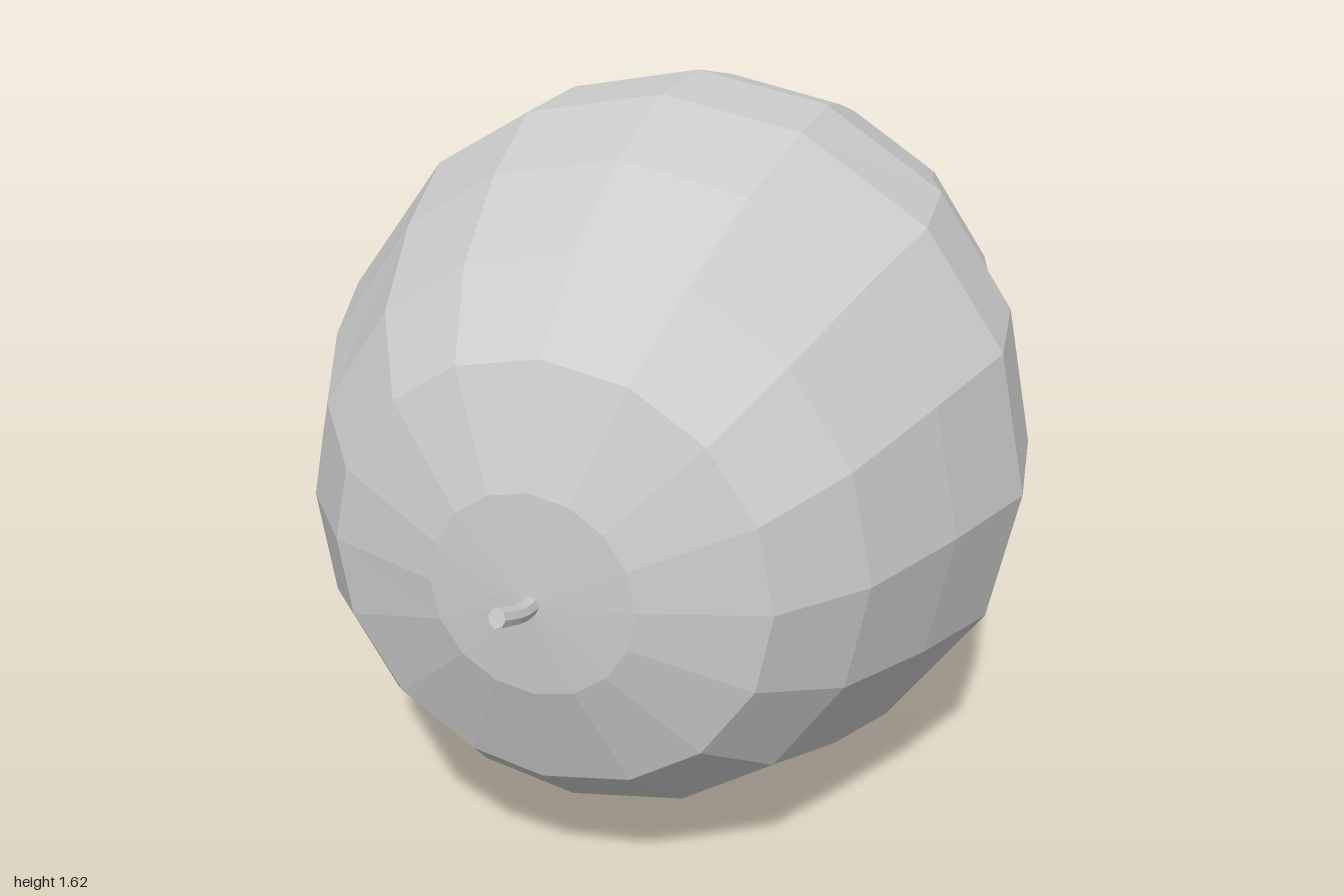
import * as THREE from 'three';

// Cross-sections from the stem end to the blossom end:
// [z, centre y, radius x, radius y, unevenness of the rib angles]
const RINGS = [
  [0.885, 0.81, 0, 0, 0],
  [0.87, 0.82, 0.21, 0.215, 0],
  [0.79, 0.815, 0.455, 0.455, 0.5],
  [0.615, 0.81, 0.6, 0.61, 0.5],
  [0.365, 0.815, 0.72, 0.725, 0.8],
  [0.1, 0.808, 0.815, 0.808, 1],
  [-0.15, 0.83, 0.79, 0.79, 0.9],
  [-0.41, 0.84, 0.695, 0.72, 0.5],
  [-0.655, 0.85, 0.64, 0.635, 0.4],
  [-0.86, 0.845, 0.475, 0.47, 0.2],
  [-0.97, 0.835, 0.23, 0.235, 0],
  [-1, 0.825, 0, 0, 0],
];
// How far each rib strays from its even spacing, in degrees
const STRAY = [0, 0.5, 0, 0.5, 0, -0.5, -5, -0.5, -4, -6.5, -3, -0.5, -6, -2.5, -3, 0.5];
const SIDES = STRAY.length;

function bodyGeometry() {
  const positions = [];
  const index = [];
  for (const [z, cy, rx, ry, uneven] of RINGS) {
    STRAY.forEach((stray, j) => {
      const a = THREE.MathUtils.degToRad(j * 360 / SIDES + stray * uneven);
      positions.push(rx * Math.cos(a), cy + ry * Math.sin(a), z);
    });
  }
  for (let i = 0; i < RINGS.length - 1; i++) {
    for (let j = 0; j < SIDES; j++) {
      const a = i * SIDES + j;
      const b = i * SIDES + (j + 1) % SIDES;
      const c = a + SIDES;
      const d = b + SIDES;
      if (i > 0) index.push(a, c, b);
      if (i < RINGS.length - 2) index.push(b, c, d);
    }
  }
  const indexed = new THREE.BufferGeometry();
  indexed.setAttribute('position', new THREE.Float32BufferAttribute(positions, 3));
  indexed.setIndex(index);
  const faceted = indexed.toNonIndexed();
  faceted.computeVertexNormals();
  return faceted;
}

export function createModel() {
  const model = new THREE.Group();
  model.name = 'melon';
  const grey = new THREE.MeshStandardMaterial({ color: 0xcccccc, flatShading: true });
  grey.name = 'pale grey';

  const add = (name, geometry) => {
    const mesh = new THREE.Mesh(geometry, grey);
    mesh.name = name;
    model.add(mesh);
    return mesh;
  };

  add('body', bodyGeometry());

  // Short bent stem with a cut end
  const path = new THREE.CatmullRomCurve3([
    new THREE.Vector3(0.002, 0.808, 0.87),
    new THREE.Vector3(0.002, 0.81, 0.91),
    new THREE.Vector3(-0.004, 0.82, 0.95),
    new THREE.Vector3(-0.015, 0.835, 0.992),
  ]);
  add('stem', new THREE.TubeGeometry(path, 5, 0.02, 8));
  const cut = add('stemEnd', new THREE.CircleGeometry(0.02, 8));
  cut.position.copy(path.getPoint(1));
  cut.lookAt(path.getPoint(1).add(path.getTangent(1)));

  // Small round scar at the blossom end
  const scar = add('blossomScar', new THREE.CylinderGeometry(0.033, 0.036, 0.008, 12));
  scar.rotation.x = -Math.PI / 2;
  scar.position.set(0, 0.825, -0.998);

  return model;
}
